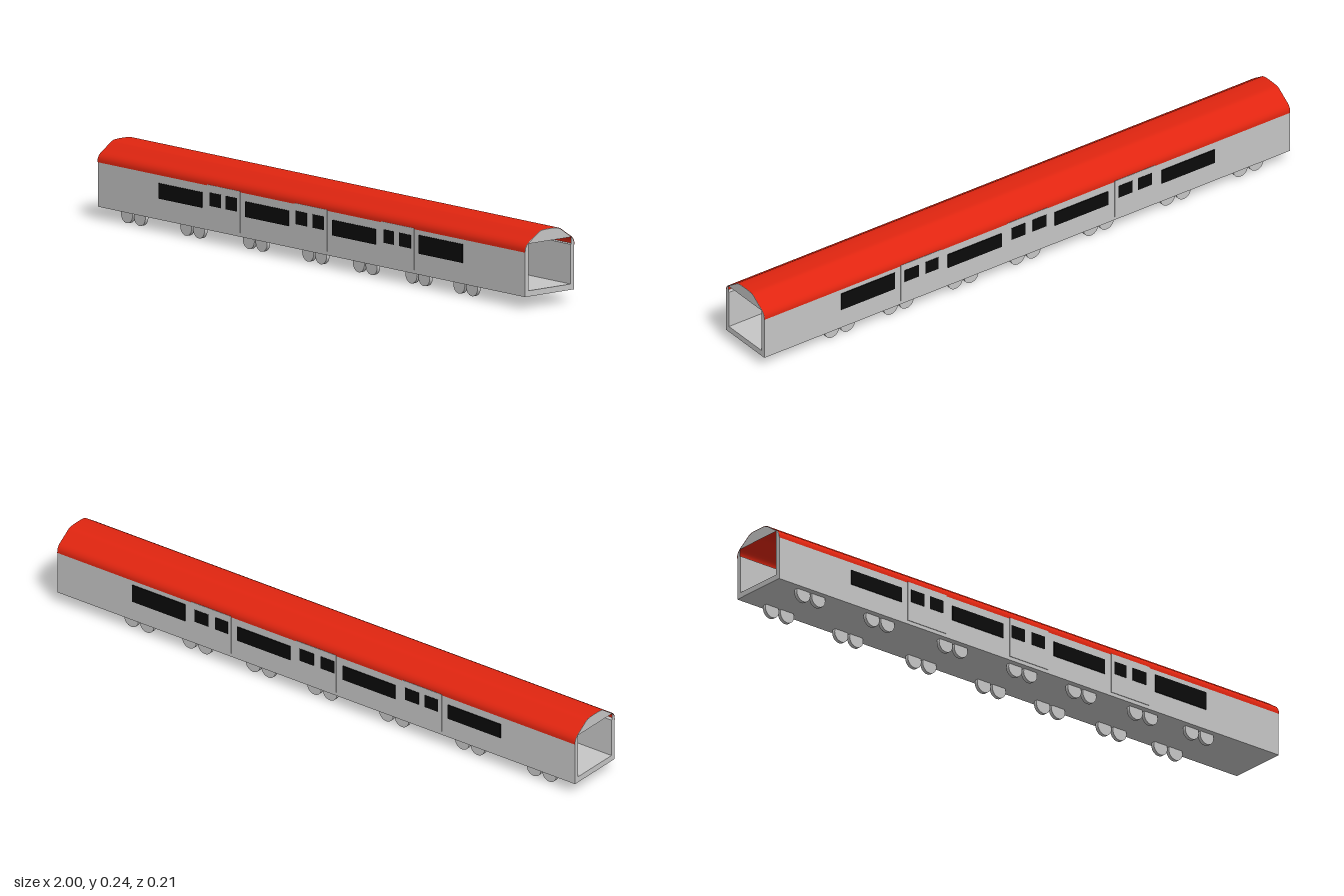
import * as THREE from 'three';

const mat = (name, color, side = THREE.FrontSide) => {
  const m = new THREE.MeshStandardMaterial({ color, side });
  m.name = name;
  return m;
};

export function createModel() {
  const car = new THREE.Group();
  car.name = 'railCar';
  const grey = mat('light grey', 0xc6c6c6);
  const red = mat('red', 0xe02510, THREE.DoubleSide);
  const black = mat('black', 0x0a0a0a);

  const add = (name, geo, material, x = 0, y = 0, z = 0) => {
    const mesh = new THREE.Mesh(geo, material);
    mesh.name = name;
    mesh.position.set(x, y, z);
    car.add(mesh);
    return mesh;
  };
  const v = (x, y) => new THREE.Vector2(x, y);
  // Extrude a cross-section (z, y) along the length of the car
  const alongX = (shape, length) => new THREE.ExtrudeGeometry(shape, { depth: length, bevelEnabled: false })
    .translate(0, 0, -length / 2).rotateY(Math.PI / 2);

  // Half of the roof profile, from the eaves to the crown
  const half = [v(0.1, 0.177), v(0.0985, 0.19), v(0.09, 0.203), v(0.07, 0.217),
    v(0.05, 0.231), v(0.04, 0.237), v(0.028, 0.24), v(0, 0.241)];
  const arch = [...half.map(p => v(-p.x, p.y)), ...half.slice(0, -1).reverse()];
  const roofLine = new THREE.SplineCurve(arch).getPoints(42);

  // Floor and side walls, open above and at both ends
  add('body', alongX(new THREE.Shape([v(-0.1, 0.038), v(0.1, 0.038), v(0.1, 0.18), v(0.086, 0.18),
    v(0.086, 0.056), v(-0.086, 0.056), v(-0.086, 0.18), v(-0.1, 0.18)]), 1.998), grey);

  // Thin curved roof shell
  const roof = new THREE.PlaneGeometry(2, 1, 1, roofLine.length - 1);
  const pos = roof.attributes.position;
  for (let i = 0; i < pos.count; i++) {
    const p = roofLine[Math.floor(i / 2)];
    pos.setY(i, p.y);
    pos.setZ(i, p.x * 1.01);
  }
  roof.computeVertexNormals();
  add('roof', roof, red);

  // End frames with an arched top and a square opening
  const frame = new THREE.Shape([v(-0.0995, 0.038), ...roofLine.map(p => v(p.x * 0.995, p.y - 0.001)), v(0.0995, 0.038)]);
  frame.holes.push(new THREE.Path([v(-0.086, 0.056), v(-0.086, 0.203), v(0.086, 0.203), v(0.086, 0.056)]));
  for (const s of [-1, 1]) add('endFrame', alongX(frame, 0.008), grey, s * 0.996);

  // Doors and windows on both sides
  const windows = [
    [-0.713, -0.51, 0.104, 0.152], [-0.307, -0.104, 0.104, 0.152],
    [0.099, 0.303, 0.104, 0.152], [0.505, 0.709, 0.104, 0.162],
    ...[[-0.473, -0.42], [-0.398, -0.345], [-0.072, -0.019], [0.008, 0.062], [0.34, 0.389], [0.414, 0.468]]
      .map(([a, b]) => [a, b, 0.115, 0.157]),
  ];
  for (const s of [-1, 1]) {
    for (const x of [-0.409, -0.001, 0.405]) {
      add('door', new THREE.BoxGeometry(0.154, 0.13, 0.004), grey, x, 0.115, s * 0.1);
    }
    for (const [a, b, y0, y1] of windows) {
      add('window', new THREE.BoxGeometry(b - a, y1 - y0, 0.006), black, (a + b) / 2, (y0 + y1) / 2, s * 0.1);
    }
  }

  // Seven pairs of wheels under each side
  const wheel = new THREE.CylinderGeometry(0.027, 0.027, 0.012, 28).rotateX(Math.PI / 2);
  for (const x of [-0.856, -0.579, -0.286, -0.008, 0.229, 0.475, 0.699]) {
    for (const dx of [-0.03, 0.03]) {
      for (const s of [-1, 1]) add('wheel', wheel, grey, x + dx, 0.027, s * 0.075);
    }
  }
  return car;
}
